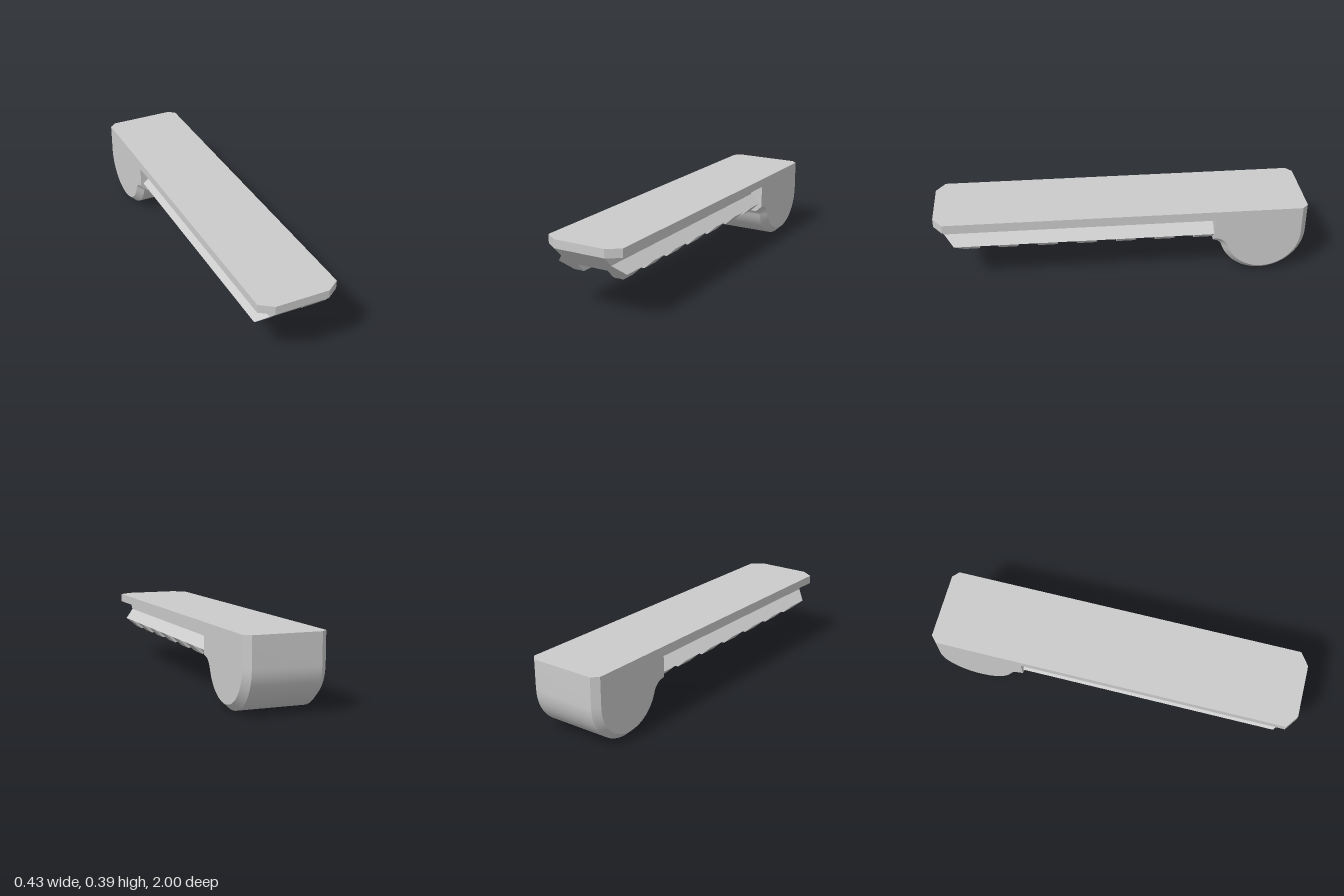
import * as THREE from 'three';
import { toCreasedNormals } from 'three/addons/utils/BufferGeometryUtils.js';

const material = new THREE.MeshStandardMaterial({ color: 0xcccccc });
const TOP = 0.393, PLATE = 0.347, NECK = 0.295, FLOOR = 0.245, BASE = 0.195;
const HALF = 0.215, REAR = -0.495;
const PITCH = 0.2113, GAP = 0.0527, BORE = 0.097;
const SCREWS = [0.507, -0.338];

function addMesh(parent, name, geometry) {
  const mesh = new THREE.Mesh(toCreasedNormals(geometry, 0.5), material);
  mesh.name = name;
  parent.add(mesh);
  return mesh;
}

// Extrudes an (x, z) plan downward from yTop to yBottom
function planGeometry(shape, yTop, yBottom) {
  return new THREE.ExtrudeGeometry(shape, { depth: yTop - yBottom, bevelEnabled: false, curveSegments: 32 })
    .rotateX(Math.PI / 2)
    .translate(0, yTop, 0);
}

// Tapers the outer sides of a rail slab and slants its front end at 45 degrees
function railSlab(shape, yTop, yBottom, xTop, xBottom) {
  const geometry = planGeometry(shape, yTop, yBottom);
  const p = geometry.attributes.position;
  for (let i = 0; i < p.count; i++) {
    const x = p.getX(i), y = p.getY(i);
    const t = (yTop - y) / (yTop - yBottom);
    if (Math.abs(x) > 0.14) p.setX(i, Math.sign(x) * (xTop + (xBottom - xTop) * t));
    if (p.getZ(i) > 0.8) p.setZ(i, 1 - PLATE + y);
  }
  return geometry;
}

function polygon(points) {
  return new THREE.Shape(points.map(([x, y]) => new THREE.Vector2(x, y)));
}

const rect = (x0, x1, z0, z1) => polygon([[x0, z0], [x1, z0], [x1, z1], [x0, z1]]);

// Cross tooth plan, with round bites where a screw bore cuts into it
function toothShape(z0, z1, biteLow, biteHigh) {
  const a0 = Math.asin(GAP / BORE), n = 14;
  const bite = (edge, s) => Array.from({ length: n + 1 }, (_, i) => {
    const a = Math.PI - a0 - (Math.PI - 2 * a0) * i / n;
    return [s * BORE * Math.cos(a), edge + s * (BORE * Math.sin(a) - GAP)];
  });
  return polygon([
    [-0.2, z0], ...(biteLow ? bite(z0, 1) : []), [0.2, z0],
    [0.2, z1], ...(biteHigh ? bite(z1, -1) : []), [-0.2, z1],
  ]);
}

// Side profile of the rear bulb as [z, y], inset by d along its lower edge
function bulbProfile(d) {
  const cz = -0.765, cy = 0.235, R = 0.235 - d;
  const r = 0.0495 + d, fy = 0.1455;
  const tilt = Math.atan2(cy - fy, REAR - cz);
  const points = [[REAR, TOP]];
  for (let i = 0; i <= 10; i++) { // concave fillet under the rail
    const a = Math.PI / 2 + (Math.PI / 2 - tilt) * i / 10;
    points.push([REAR + r * Math.cos(a), fy + r * Math.sin(a)]);
  }
  for (let i = 1; i <= 40; i++) { // round belly
    const a = -tilt - (Math.PI - tilt) * i / 40;
    points.push([cz + R * Math.cos(a), cy + R * Math.sin(a)]);
  }
  points.push([cz - R, TOP]);
  return points;
}

// Bulb lofted across x with chamfered side edges
function bulbGeometry() {
  const rings = [[-HALF, 0.032], [-0.18, 0], [0.18, 0], [HALF, 0.032]]
    .map(([x, d]) => bulbProfile(d).map(([z, y]) => [x, y, z]));
  const n = rings[0].length, index = [];
  for (let k = 0; k < 3; k++) {
    for (let i = 0; i < n; i++) {
      const a = k * n + i, b = k * n + (i + 1) % n;
      index.push(a, b, b + n, a, b + n, a + n);
    }
  }
  const outline = rings[0].map(([, y, z]) => new THREE.Vector2(z, y));
  const clockwise = THREE.ShapeUtils.isClockWise(outline);
  if (clockwise) outline.reverse();
  const id = (i) => (clockwise ? n - 1 - i : i);
  for (const [a, b, c] of THREE.ShapeUtils.triangulateShape(outline, [])) {
    index.push(id(a), id(b), id(c)); // -x cap
    index.push(3 * n + id(a), 3 * n + id(c), 3 * n + id(b)); // +x cap
  }
  const geometry = new THREE.BufferGeometry();
  geometry.setAttribute('position', new THREE.Float32BufferAttribute(rings.flat(2), 3));
  geometry.setIndex(index);
  return geometry;
}

// Slotted screw head, facing down
function addScrew(parent, z) {
  const screw = new THREE.Group();
  screw.name = 'screw';
  const r = 0.088, a = 0.17;
  addMesh(screw, 'screwBase', new THREE.CylinderGeometry(r, r, 0.02, 40).translate(0, NECK - 0.01, 0));
  for (const turn of [0, Math.PI]) {
    const half = new THREE.Shape();
    half.absarc(0, 0, r, a, Math.PI - a, false);
    half.closePath();
    addMesh(screw, 'screwHalf', planGeometry(half, NECK - 0.02, NECK - 0.038).rotateY(turn));
  }
  screw.position.z = z;
  screw.rotation.y = Math.PI / 6;
  parent.add(screw);
}

export function createModel() {
  const model = new THREE.Group();
  model.name = 'accessoryRail';

  // Flat top plate with clipped front corners
  addMesh(model, 'topPlate', planGeometry(polygon([
    [-HALF, REAR], [HALF, REAR], [HALF, 0.95], [0.145, 1], [-0.145, 1], [-HALF, 0.95],
  ]), TOP, PLATE));

  // Rounded rear block
  addMesh(model, 'rearBulb', bulbGeometry());

  // Rail neck and flared rail body with screw bores
  const rail = new THREE.Group();
  rail.name = 'rail';
  model.add(rail);
  addMesh(rail, 'railNeck', railSlab(rect(-0.145, 0.145, REAR, 1), PLATE, NECK, 0.145, 0.145));
  const flare = rect(-0.2, 0.2, REAR, 1);
  for (const z of SCREWS) {
    flare.holes.push(new THREE.Path().absarc(0, z, BORE, 0, Math.PI * 2, true));
    addScrew(rail, z);
  }
  addMesh(rail, 'railFlare', railSlab(flare, NECK, FLOOR, 0.145, 0.2));

  // Cross teeth
  for (let i = 1; i <= 6; i++) {
    const z = 0.6125 - PITCH * (i - 1);
    const shape = toothShape(z - 0.053, z + 0.053, i === 1 || i === 5, i === 2 || i === 6);
    addMesh(rail, 'tooth', railSlab(shape, FLOOR, BASE, 0.2, 0.145));
  }

  // Split front tooth
  for (const [x0, x1] of [[-0.2, -0.088], [0.088, 0.2]]) {
    addMesh(rail, 'frontTooth', railSlab(rect(x0, x1, 0.768, 1), FLOOR, BASE, 0.2, 0.145));
  }

  return model;
}
